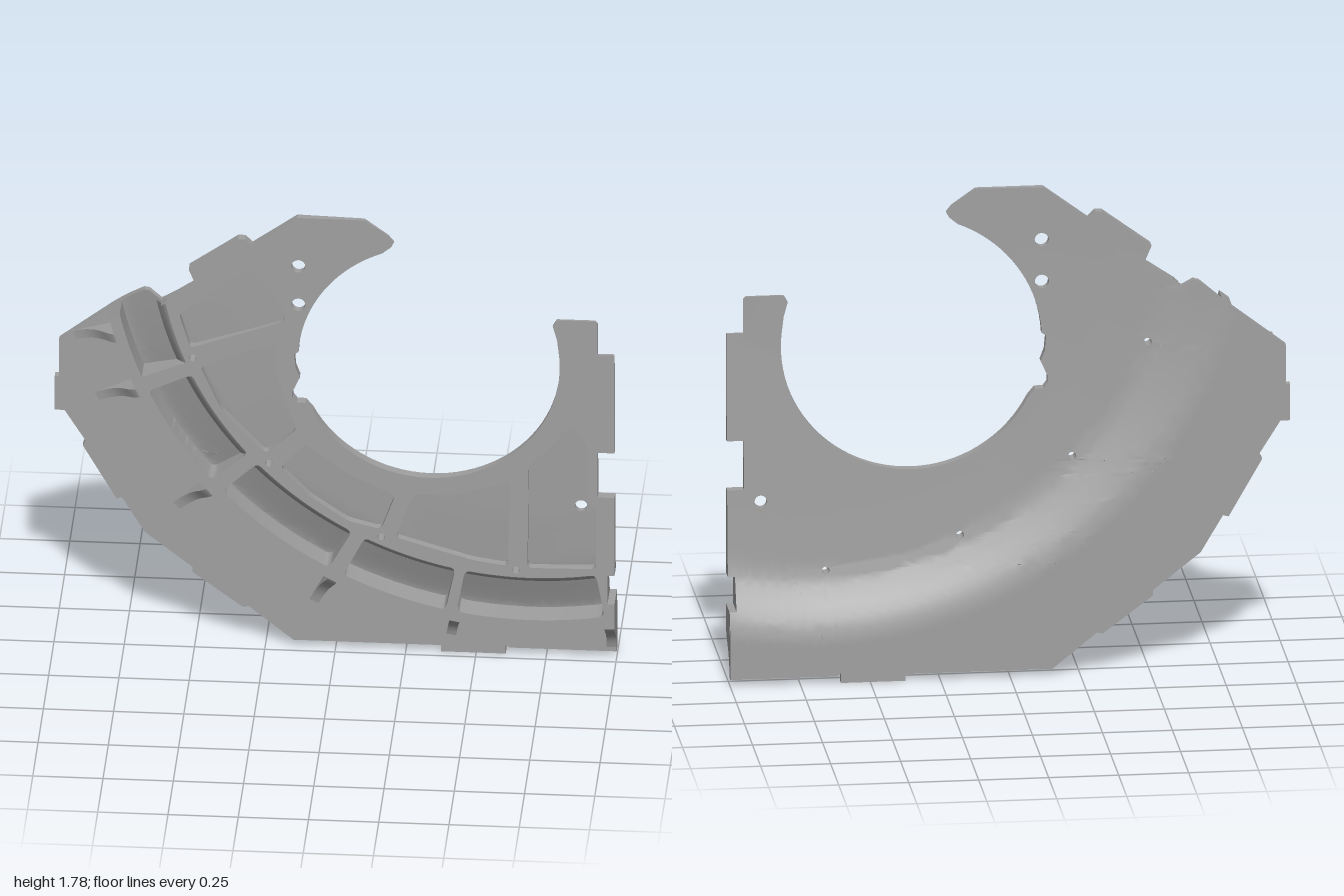
import * as THREE from 'three';
import { toCreasedNormals } from 'three/addons/utils/BufferGeometryUtils.js';

const CX = 0.7, CY = 1.69;           // centre of the ring of ribs
const FRONT = 0.07, DEPTH = 0.05;
const rad = THREE.MathUtils.degToRad;

// piecewise-linear rule through [radius, z] pairs
const rule = (pts) => (r) => {
  let i = 1;
  while (i < pts.length - 1 && r > pts[i][0]) i++;
  const [a, za] = pts[i - 1], [b, zb] = pts[i];
  return za + (zb - za) * THREE.MathUtils.clamp((r - a) / (b - a), 0, 1);
};
const back = rule([[0.3, 0.062], [0.5, 0.06], [1.1, 0.03], [1.28, 0.018], [1.33, 0.009],
  [1.38, -0.012], [1.44, -0.04], [1.48, -0.056], [1.53, -0.065], [3, -0.065]]);
const floor = rule([[0.5, 0.066], [0.75, 0.063], [1.1, 0.05], [1.28, 0.04], [1.33, 0.032],
  [1.38, 0.012], [1.44, -0.012], [1.49, -0.03], [1.53, -0.033], [3, -0.033]]);

// points along an arc, angles in degrees
function arc(cx, cy, r, a0, a1, n) {
  return Array.from({ length: n + 1 }, (_, i) => {
    const a = rad(a0 + (a1 - a0) * i / n);
    return [cx + r * Math.cos(a), cy + r * Math.sin(a)];
  });
}
const ringArc = (r, a0, a1, n) => arc(CX, CY, r, a0, a1, n);
const path = (pts) => new THREE.Path(pts.map(([x, y]) => new THREE.Vector2(x, y)));
const circle = (x, y, r) => path(arc(x, y, r, 0, 337.5, 15));

// closed polygon with softened corners
function rounded(pts, size) {
  const p = pts.map(([x, y]) => new THREE.Vector2(x, y)), out = [];
  p.forEach((c, i) => {
    const ends = [p[(i + p.length - 1) % p.length], p[(i + 1) % p.length]].map((q) =>
      c.clone().lerp(q, Math.min(0.45, size / c.distanceTo(q))));
    out.push(...new THREE.QuadraticBezierCurve(ends[0], c, ends[1]).getPoints(3));
  });
  return new THREE.Path(out);
}

// extrude an outline, split it finely, then bend back and front by radius rules
function solid(outline, holes, zBack, zFront, maxEdge) {
  const shape = new THREE.Shape(path(outline).getPoints());
  shape.holes = holes;
  let g = new THREE.ExtrudeGeometry(shape, { depth: DEPTH, bevelEnabled: false });
  if (g.index) g = g.toNonIndexed();
  const p = g.attributes.position, stack = [], out = [];
  const at = (i) => new THREE.Vector3().fromBufferAttribute(p, i);
  for (let i = 0; i < p.count; i += 3) stack.push([at(i), at(i + 1), at(i + 2)]);
  while (stack.length) {
    const t = stack.pop();
    const d = [0, 1, 2].map((k) => t[k].distanceToSquared(t[(k + 1) % 3]));
    const k = d.indexOf(Math.max(...d));
    const a = t[k], b = t[(k + 1) % 3], c = t[(k + 2) % 3];
    if (d[k] > maxEdge * maxEdge) {
      const m = a.clone().add(b).multiplyScalar(0.5);
      stack.push([a, m, c], [m, b, c]);
    } else {
      for (const v of t) {
        const r = Math.hypot(v.x - CX, v.y - CY), lo = zBack(r);
        out.push(v.x, v.y, lo + (zFront(r) - lo) * v.z / DEPTH);
      }
    }
  }
  const res = new THREE.BufferGeometry();
  res.setAttribute('position', new THREE.Float32BufferAttribute(out, 3));
  return toCreasedNormals(res, 0.6);
}

export function createModel() {
  const group = new THREE.Group();
  const metal = new THREE.MeshStandardMaterial({ color: 0xa0a0a0 });
  metal.name = 'plain grey';
  metal.side = THREE.DoubleSide;
  const add = (name, geometry) => {
    const m = new THREE.Mesh(geometry, metal);
    m.name = name;
    group.add(m);
    return m;
  };

  // edge shared by shell and rib web: top lobe, bore, right arm
  const inner = [
    [-0.615, 1.41], [-0.49, 1.5], [-0.515, 1.56], [-0.34, 1.69], [-0.315, 1.69], [-0.29, 1.665],
    [-0.13, 1.785], [0.11, 1.785], [0.195, 1.725], [0.215, 1.7], [0.205, 1.68],
    ...arc(0.34, 1.22, 0.465, 111, 177, 18),
    [-0.14, 1.235], [-0.135, 1.18], [-0.12, 1.14], [-0.145, 1.085], [-0.145, 1.06], [-0.13, 1.04], [-0.1, 1.04],
    ...arc(0.34, 1.22, 0.465, 207, 365, 40),
    [0.795, 1.33], [0.78, 1.385], [0.795, 1.41], [0.93, 1.41], [0.94, 1.4], [0.94, 1.275], [1, 1.275],
    [1, 0.88], [0.94, 0.88], [0.94, 0.7], [1, 0.7], [1, 0.385], [0.975, 0.385], [0.975, 0.27], [1, 0.27],
  ];
  // outer flange edge with small tabs
  const outer = [
    [1, 0.025], [0.62, 0.025], [0.605, 0.035], [0.605, 0], [0.375, 0], [0.375, 0.025], [-0.15, 0.025],
    [-0.31, 0.155], [-0.33, 0.15], [-0.51, 0.285], [-0.51, 0.305], [-0.68, 0.44], [-0.76, 0.575],
    [-0.78, 0.57], [-0.9, 0.78], [-0.89, 0.8], [-0.965, 0.92], [-1, 0.92], [-1, 1.055], [-0.985, 1.055],
    [-0.985, 1.2], [-0.68, 1.437], [-0.66, 1.44],
  ];
  // through holes
  const holes = () => [
    [-0.5, 1.205, 0.014], [-0.23, 0.79, 0.014], [0.17, 0.51, 0.014], [0.65, 0.395, 0.014],
    [-0.125, 1.59, 0.025], [-0.125, 1.435, 0.025],
  ].map((h) => circle(...h));

  add('dishedShell', solid([...inner, ...outer], [...holes(), circle(0.88, 0.655, 0.022)], back, floor, 0.04));

  // shallow pockets around the bore
  const shallow = [
    [[-0.295, 1.578], [-0.17, 1.405], [-0.175, 1.365], [-0.51, 1.245], [-0.55, 1.38]],
    [[-0.205, 1.28], [-0.205, 1.155], [-0.13, 0.93], [-0.24, 0.83], [-0.4, 1.0], [-0.475, 1.17]],
    [[-0.1, 0.875], [0.045, 0.76], [0.22, 0.68], [0.17, 0.54], [0.05, 0.57], [-0.08, 0.66], [-0.19, 0.775]],
    [[0.285, 0.685], [0.44, 0.69], [0.63, 0.75], [0.62, 0.41], [0.49, 0.43], [0.22, 0.51]],
    [[0.695, 0.82], [0.78, 0.9], [0.84, 1.0], [0.905, 0.9], [0.905, 0.675], [0.935, 0.665], [0.935, 0.41], [0.69, 0.405]],
  ].map((pts) => rounded(pts, 0.02));

  // deep pockets along the ring, with ribs between
  const R0 = 1.325, R1 = 1.495;
  const deep = [[204.7, 220.7], [222.9, 241.4], [243.6, 258.4], [259.9, 280.2]].map(([a, b]) =>
    rounded([...ringArc(R0, a, b, 10), ...ringArc(R1, b, a, 10)], 0.025));

  const webEdge = [
    ...inner, ...ringArc(1.535, 281.3, 193, 50),
    ...ringArc(R1, 192.3, 202.4, 6), ...ringArc(R0, 202.4, 191.5, 6),
  ];
  add('ribWeb', solid(webEdge, [...holes(), ...shallow, ...deep], floor, () => FRONT, 0.06));

  // soft inner shoulder of the deep pockets
  const shoulder = [[1.322, 0.07], [1.332, 0.064], [1.342, 0.052], [1.352, 0.037], [1.364, 0.018]]
    .map(([r, z]) => new THREE.Vector2(r, z));
  const lathe = new THREE.LatheGeometry(shoulder, 60, rad(192 - 270), rad(88.2));
  lathe.rotateX(Math.PI / 2);
  add('pocketShoulder', lathe).position.set(CX, CY, 0);

  // tapered ribs running out over the flange
  function flangeRib(length, width) {
    const s = new THREE.Shape();
    s.moveTo(-0.03, -0.04);
    s.lineTo(-0.03, 0.069);
    s.lineTo(0, 0.069);
    s.bezierCurveTo(length * 0.3, 0.045, length * 0.35, -0.02, length, -0.034);
    s.lineTo(length, -0.04);
    const g = new THREE.ExtrudeGeometry(s, { depth: width, bevelEnabled: false, curveSegments: 10 });
    g.translate(0, 0, -width / 2);
    g.rotateX(Math.PI / 2);
    return toCreasedNormals(g, 0.6);
  }
  for (const [a, len] of [[195.9, 0.17], [204.6, 0.18], [222, 0.18], [242.7, 0.17], [259.9, 0.12]]) {
    const rib = add('flangeRib', flangeRib(len, 0.035));
    const [x, y] = ringArc(1.53, a, a, 1)[0];
    rib.position.set(x, y, 0);
    rib.rotation.z = rad(a);
  }
  const endRib = add('endRib', flangeRib(0.13, 0.035));
  endRib.position.set(0.982, 0.168, 0);
  endRib.rotation.z = rad(270);

  return group;
}
